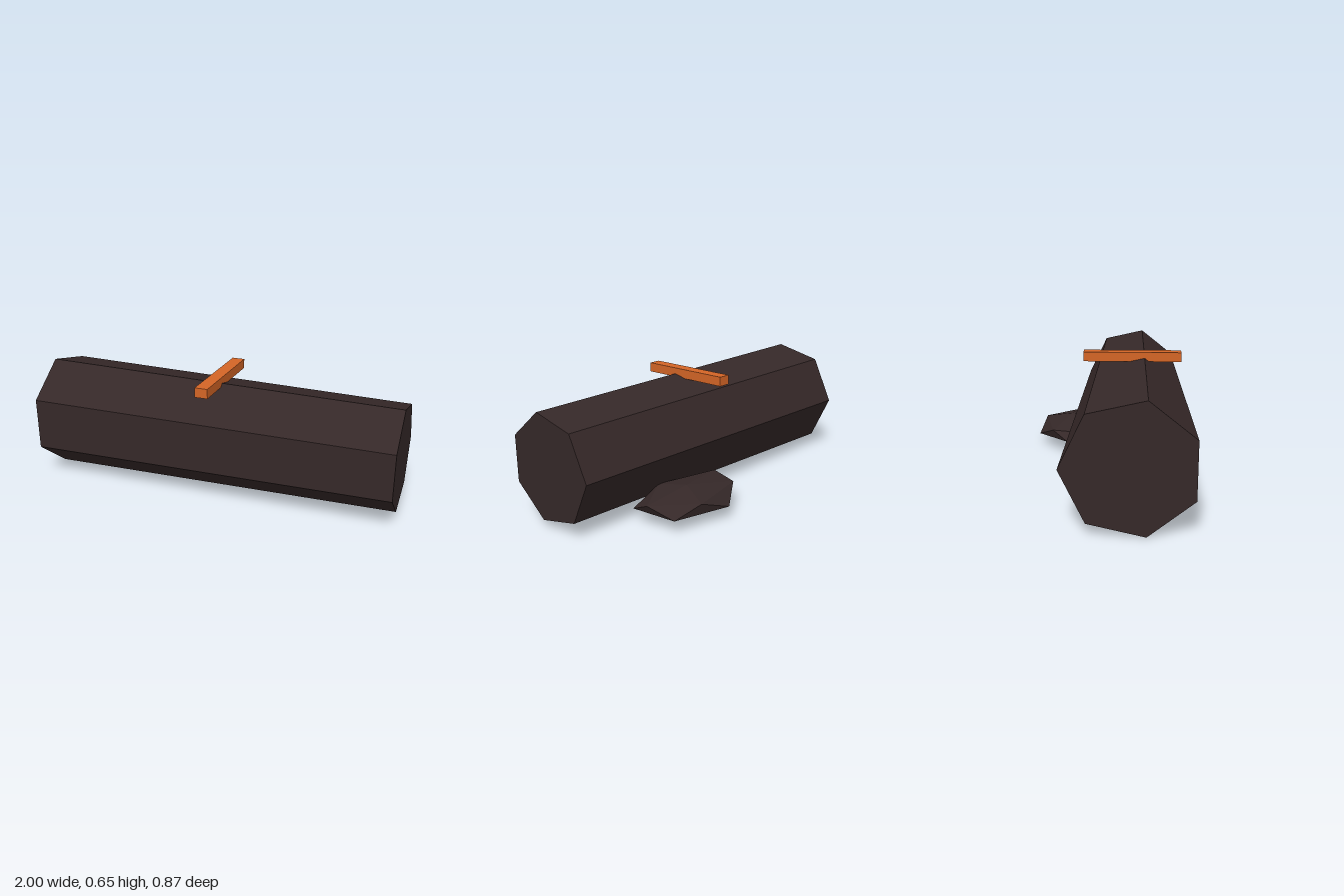
import * as THREE from 'three';
import { ConvexGeometry } from 'three/addons/geometries/ConvexGeometry.js';

export function createModel() {
  const group = new THREE.Group();
  const charred = new THREE.MeshStandardMaterial({ color: 0x352828, flatShading: true });
  charred.name = 'charredWood';
  const ember = new THREE.MeshStandardMaterial({ color: 0xd46526, flatShading: true });
  ember.name = 'emberOrange';

  const add = (name, geometry, material, x, y, z) => {
    const mesh = new THREE.Mesh(geometry, material);
    mesh.name = name;
    mesh.position.set(x, y, z);
    group.add(mesh);
  };

  // Seven-sided tapering log lying along x, thick end at -x, one edge facing back
  const log = new THREE.CylinderGeometry(0.328, 0.291, 2, 7, 1, false, Math.PI);
  log.rotateZ(Math.PI / 2);
  add('log', log, charred, 0, 0.32, 0.138);

  // Glowing strip across the top of the log
  add('emberStrip', new THREE.BoxGeometry(0.07, 0.052, 0.546), ember, 0, 0.629, 0.138);

  // Flattened chunk at the back: two poles and two staggered rings of five
  const chunk = [
    [0.04, 0.063, 0.003], [-0.04, -0.062, -0.003],
    [0.297, 0.018, 0.033], [0.108, 0.025, -0.163], [-0.223, 0.03, -0.093],
    [-0.278, 0.033, 0.09], [0.073, 0.033, 0.175],
    [0.253, -0.034, -0.113], [0.283, -0.032, 0.148], [-0.108, -0.025, 0.185],
    [-0.297, -0.018, -0.003], [-0.073, -0.039, -0.191],
  ].map((p) => new THREE.Vector3(...p));
  add('charredChunk', new ConvexGeometry(chunk), charred, 0.378, 0.107, -0.242);

  return group;
}
